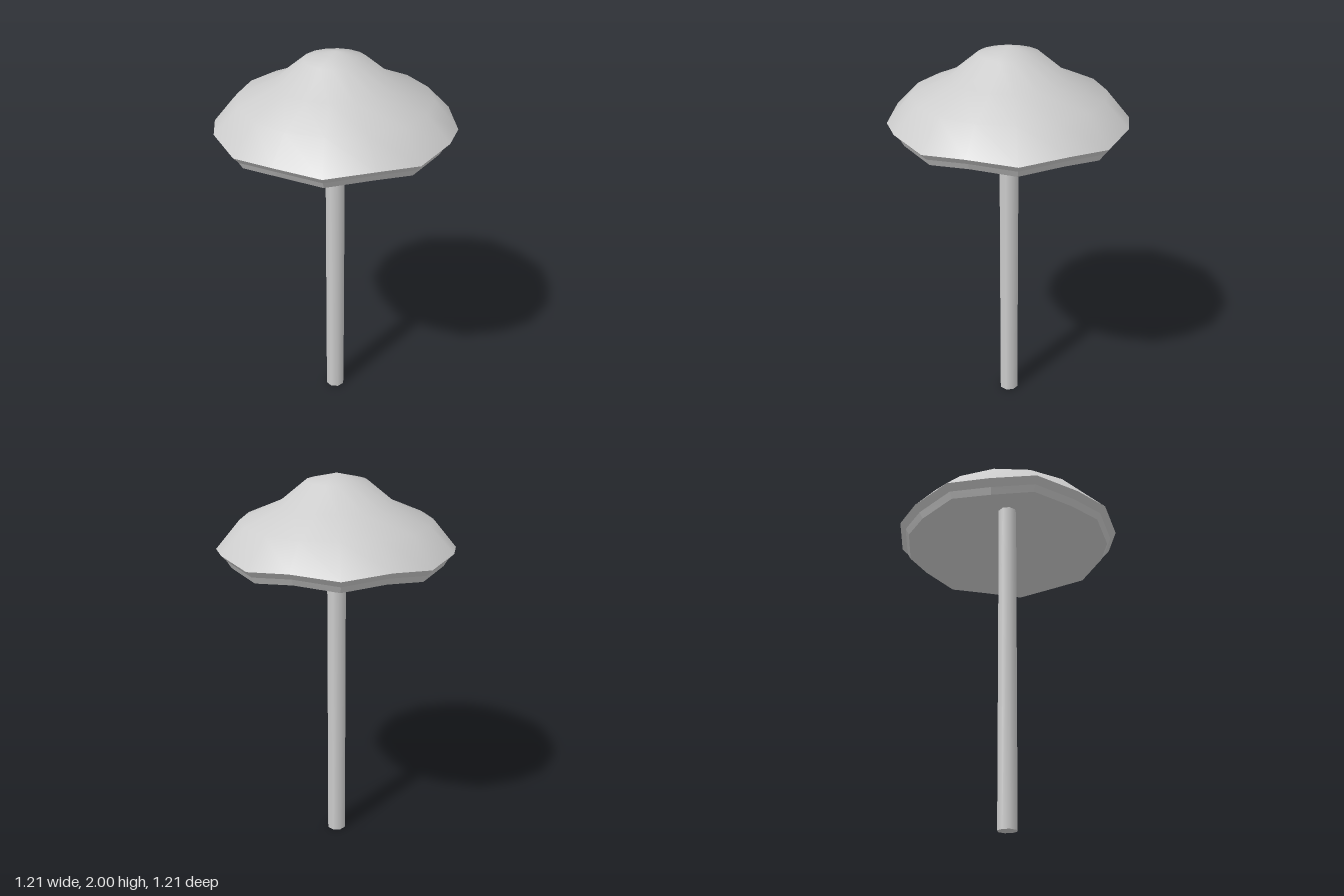
import * as THREE from 'three';

const SIDES = 16;

// Joins rings [radius, height, dip]; every second corner of a ring sinks by its dip.
// Rings run from the top centre outwards, round the rim and back in underneath.
function loftRings(rings, faceted) {
  const positions = [], index = [];
  for (const [r, y, dip] of rings) {
    for (let k = 0; k < SIDES; k++) {
      const a = (k / SIDES) * Math.PI * 2;
      positions.push(r * Math.sin(a), y - (k % 2) * dip, r * Math.cos(a));
    }
  }
  for (let i = 0; i < rings.length - 1; i++) {
    for (let k = 0; k < SIDES; k++) {
      const n = (k + 1) % SIDES;
      const a = i * SIDES + k, b = a + SIDES;
      const c = (i + 1) * SIDES + n, d = i * SIDES + n;
      if (rings[i + 1][0] > 0) index.push(a, b, c);
      if (rings[i][0] > 0) index.push(a, c, d);
    }
  }
  let geometry = new THREE.BufferGeometry();
  geometry.setAttribute('position', new THREE.Float32BufferAttribute(positions, 3));
  geometry.setIndex(index);
  if (faceted) geometry = geometry.toNonIndexed();
  geometry.computeVertexNormals();
  return geometry;
}

export function createModel() {
  const group = new THREE.Group();
  const grey = new THREE.MeshStandardMaterial({ color: 0xcccccc });
  grey.name = 'grey';

  const add = (name, geometry) => {
    const mesh = new THREE.Mesh(geometry, grey);
    mesh.name = name;
    group.add(mesh);
    return mesh;
  };

  // Smooth bell-shaped top of the cap
  const dome = loftRings([
    [0, 2, 0],
    [0.155, 1.963, 0],
    [0.295, 1.85, 0],
    [0.482, 1.77, 0],
    [0.603, 1.65, 0.025],
  ], false);
  // All corners at the tip share one upright normal
  for (let k = 0; k < SIDES; k++) dome.attributes.normal.setXYZ(k, 0, 1, 0);
  add('capTop', dome);

  // Wavy faceted rim
  add('capRim', loftRings([
    [0.603, 1.65, 0.025],
    [0.572, 1.618, 0.025],
    [0.553, 1.585, 0.025],
  ], true));

  // Hollow conical underside
  add('capUnderside', loftRings([
    [0.553, 1.585, 0.025],
    [0, 1.845, 0],
  ], true));

  // Slim straight stem reaching up into the cap
  const stem = add('stem', new THREE.CylinderGeometry(0.051, 0.051, 1.85, 8));
  stem.position.y = 0.925;

  return group;
}
